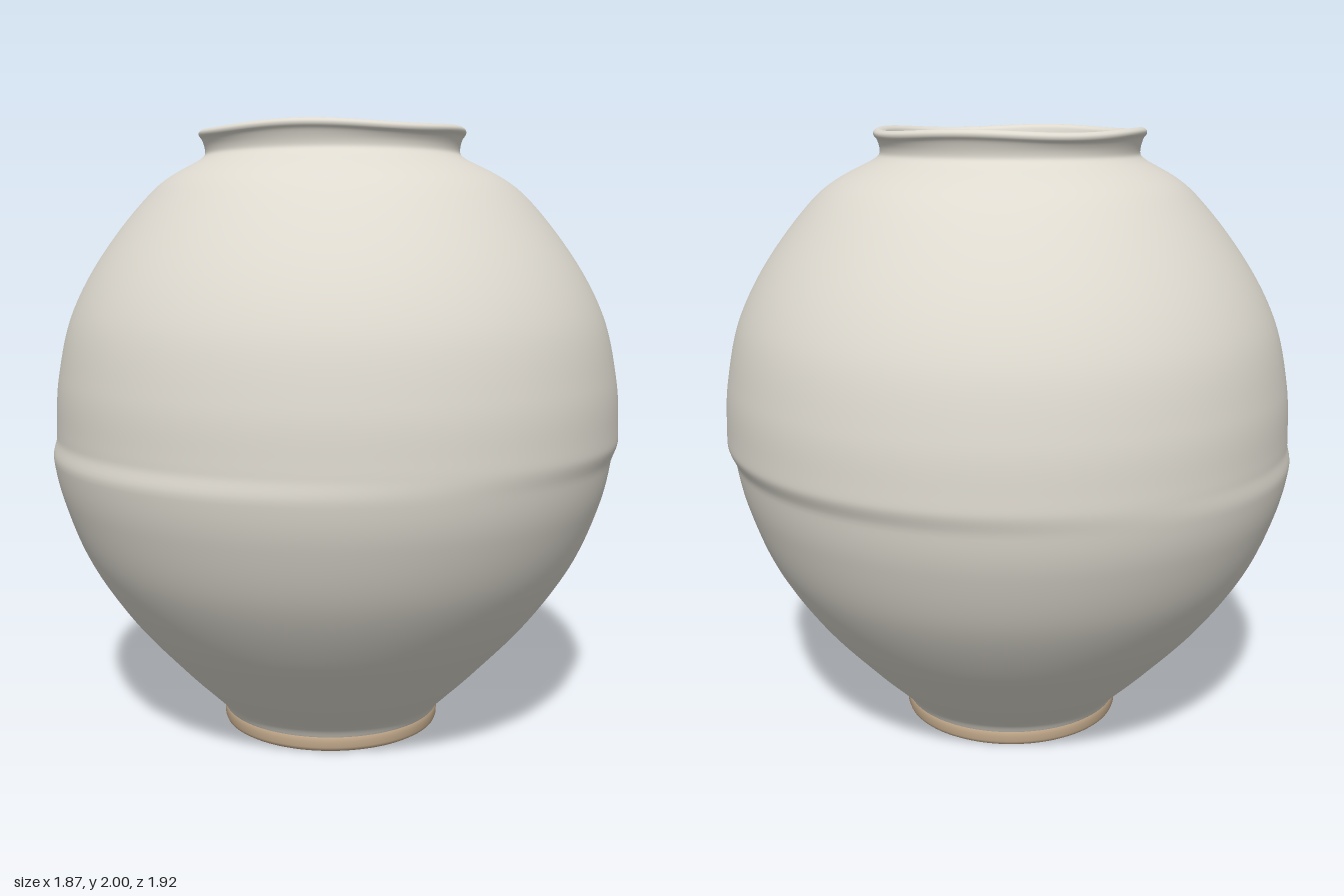
import * as THREE from 'three';
import { mergeVertices } from 'three/addons/utils/BufferGeometryUtils.js';

const smooth = THREE.MathUtils.smoothstep;
const spline = (pts, n) => new THREE.SplineCurve(pts.map(([r, y]) => new THREE.Vector2(r, y))).getPoints(n);

// Hand-thrown irregularity: two offset halves, slightly oval, with an uneven rim
function warp(x, y, z) {
  const upper = smooth(y, 0.935, 1.005);
  const neck = smooth(y, 1.75, 1.95);
  const oval = 1 + 0.036 * smooth(y, 0.1, 0.9);
  const angle = Math.atan2(z, x);
  const dip = 0.005 * smooth(y, 1.93, 1.98) * (1 + Math.cos(4 * angle + 0.4));
  return [x - 0.013 + 0.019 * upper - 0.011 * neck, y - dip, z * oval - 0.006 * neck];
}

// Turns a profile, then warps it and welds the seam for smooth normals
function thrown(profile, name, material) {
  let geo = new THREE.LatheGeometry(profile, 128);
  geo.deleteAttribute('uv');
  geo.deleteAttribute('normal');
  const p = geo.attributes.position;
  for (let i = 0; i < p.count; i++) p.setXYZ(i, ...warp(p.getX(i), p.getY(i), p.getZ(i)));
  geo = mergeVertices(geo, 1e-5);
  geo.computeVertexNormals();
  const mesh = new THREE.Mesh(geo, material);
  mesh.name = name;
  return mesh;
}

export function createModel() {
  const glaze = new THREE.MeshStandardMaterial({ color: 0xdedad0 });
  glaze.name = 'offWhiteGlaze';
  const clay = new THREE.MeshStandardMaterial({ color: 0xc2a98b });
  clay.name = 'bareClay';

  // Outer wall from the foot up to the shoulder
  const wall = spline([
    [0.366, 0.05], [0.385, 0.08], [0.43, 0.125], [0.525, 0.22], [0.685, 0.4], [0.815, 0.6],
    [0.892, 0.8], [0.923, 0.95], [0.926, 1.05], [0.915, 1.2], [0.868, 1.4],
    [0.76, 1.6], [0.595, 1.8], [0.44, 1.895],
  ], 120);
  // Short flared neck and rounded lip
  const neck = spline([
    [0.44, 1.895], [0.419, 1.912], [0.417, 1.935], [0.425, 1.965], [0.435, 1.98], [0.434, 1.992],
    [0.42, 2.0], [0.403, 1.994], [0.395, 1.98], [0.387, 1.94], [0.385, 1.9],
  ], 40);
  // Hollow interior down to the floor
  const inside = spline([
    [0.385, 1.9], [0.42, 1.855], [0.56, 1.77], [0.72, 1.58], [0.825, 1.39], [0.87, 1.2], [0.88, 1.0],
    [0.85, 0.8], [0.77, 0.6], [0.64, 0.4], [0.48, 0.22], [0.3, 0.12], [0, 0.09],
  ], 60);
  const profile = [...wall, ...neck.slice(1), ...inside.slice(1)];

  // Unglazed foot ring with a recessed base
  const foot = [
    [0, 0.03], [0.16, 0.03], [0.31, 0.03], [0.325, 0.028], [0.331, 0.018], [0.335, 0.006], [0.342, 0],
    [0.355, 0], [0.363, 0.005], [0.367, 0.015], [0.368, 0.035], [0.366, 0.05], [0.36, 0.056],
  ].map(([r, y]) => new THREE.Vector2(r, y));

  const jar = new THREE.Group();
  jar.name = 'jar';
  jar.add(thrown(profile, 'body', glaze), thrown(foot, 'footRing', clay));
  return jar;
}
